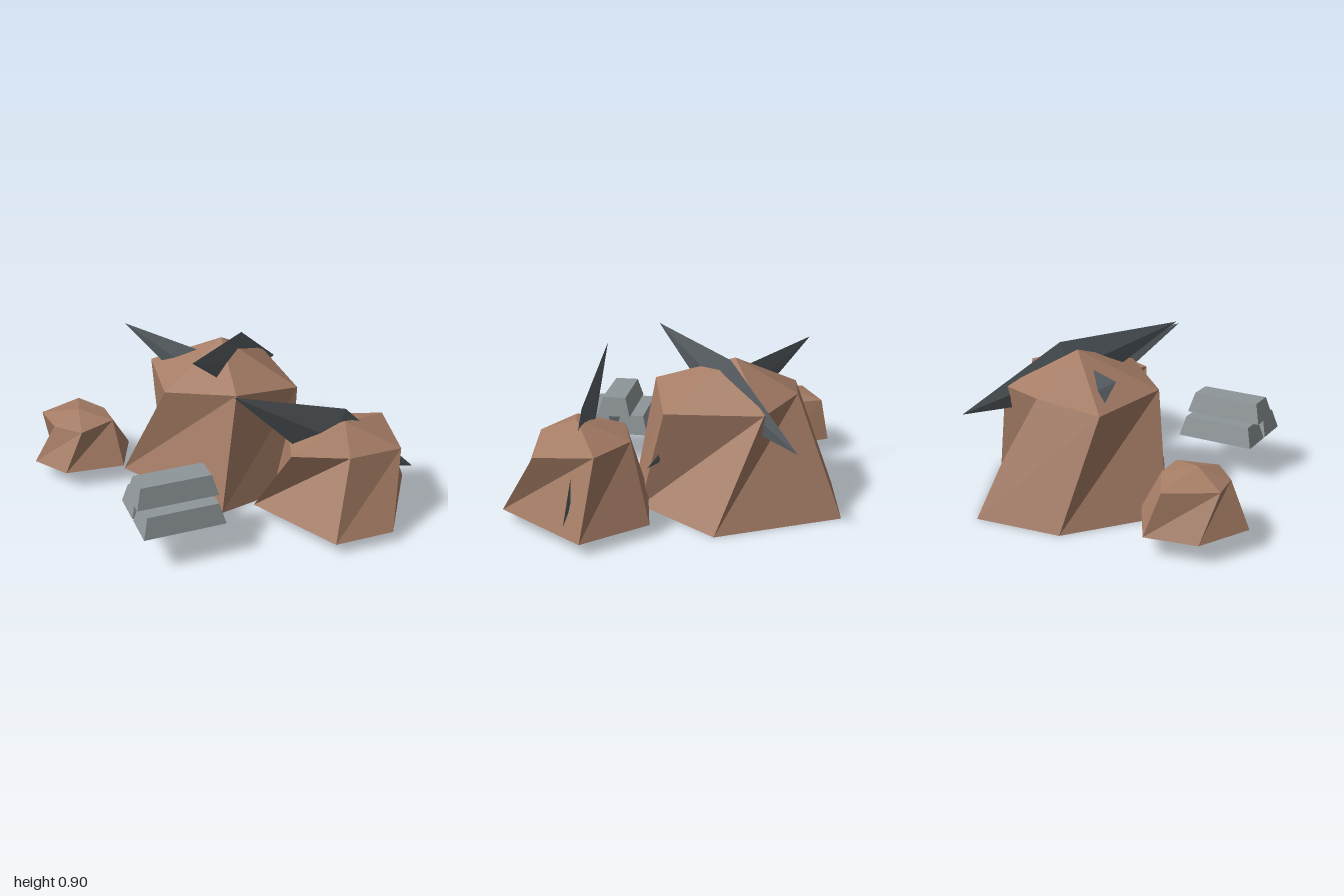
import * as THREE from 'three';

const material = (name, color) => {
  const m = new THREE.MeshStandardMaterial({ color });
  m.name = name;
  return m;
};

// Flat-faced mesh from a list of triangles, each three [x, y, z] corners
function facetMesh(name, triangles, mat) {
  const geo = new THREE.BufferGeometry();
  geo.setAttribute('position', new THREE.Float32BufferAttribute(triangles.flat(2), 3));
  geo.computeVertexNormals();
  const mesh = new THREE.Mesh(geo, mat);
  mesh.name = name;
  return mesh;
}

// Boulder: a flat base outline [x, z], a twisted upper ring [x, y, z] and a peak
function rock(name, floor, base, ring, peak, mat) {
  const low = base.map(([x, z]) => [x, floor, z]);
  const tris = [];
  for (let k = 0; k < low.length; k++) {
    const n = (k + 1) % low.length;
    tris.push([low[k], low[n], ring[n]], [low[k], ring[n], ring[k]], [ring[k], ring[n], peak]);
    if (k > 0 && n > 0) tris.push([low[0], low[n], low[k]]);
  }
  return facetMesh(name, tris, mat);
}

// Thin diamond blade running through a boulder: front tip, top, rear tip, bottom
function shard(name, corners, half, mat) {
  const [f, t, k, l] = corners.map((p) => new THREE.Vector3(...p));
  const side = f.clone().sub(k).cross(t.clone().sub(l)).setLength(half);
  const mid = f.clone().add(k).add(t).add(l).multiplyScalar(0.25);
  const a = mid.clone().add(side).toArray();
  const b = mid.clone().sub(side).toArray();
  const tris = [];
  corners.forEach((p, i) => {
    const q = corners[(i + 1) % 4];
    tris.push([p, q, a], [q, p, b]);
  });
  return facetMesh(name, tris, mat);
}

// Ingot: a box whose upper face is drawn in on all four sides
function ingot(name, x, y, mat) {
  const w = 0.2, h = 0.112, d = 0.45, inset = 0.03;
  const geo = new THREE.BoxGeometry(w, h, d).toNonIndexed();
  const p = geo.attributes.position;
  for (let i = 0; i < p.count; i++) {
    if (p.getY(i) > 0) {
      p.setX(i, p.getX(i) - Math.sign(p.getX(i)) * inset);
      p.setZ(i, p.getZ(i) - Math.sign(p.getZ(i)) * inset);
    }
  }
  geo.computeVertexNormals();
  const mesh = new THREE.Mesh(geo, mat);
  mesh.name = name;
  mesh.position.set(x, y + h / 2, 0);
  return mesh;
}

export function createModel() {
  const model = new THREE.Group();
  model.name = 'oreRocks';
  const stone = material('brown stone', 0xa67d66);
  const ore = material('dark ore', 0x585f64);
  const metal = material('grey metal', 0x8f9699);

  // Boulders
  model.add(
    rock('largeRock', 0,
      [[-0.53, 0.38], [0.23, 0.19], [0.25, -0.29], [-0.1, -0.73], [-0.82, -0.58], [-0.89, -0.1]],
      [[-0.23, 0.6, 0.26], [0.13, 0.65, 0.02], [0.13, 0.58, -0.42],
        [-0.38, 0.6, -0.57], [-0.62, 0.63, -0.3], [-0.69, 0.59, 0.06]],
      [-0.29, 0.81, -0.18], stone),
    rock('mediumRock', 0.06,
      [[0.34, 0.05], [0.91, -0.06], [1, -0.39], [0.6, -0.86], [0.23, -0.67], [0.2, -0.22]],
      [[0.58, 0.46, -0.01], [0.78, 0.46, -0.25], [0.82, 0.43, -0.59],
        [0.51, 0.475, -0.74], [0.31, 0.46, -0.49], [0.32, 0.46, -0.2]],
      [0.59, 0.56, -0.38], stone),
    rock('smallRock', 0.1,
      [[-0.765, 0.85], [-0.53, 0.77], [-0.41, 0.45], [-0.65, 0.27], [-0.98, 0.36], [-1, 0.64]],
      [[-0.7, 0.33, 0.74], [-0.53, 0.33, 0.65], [-0.55, 0.34, 0.43],
        [-0.72, 0.34, 0.39], [-0.95, 0.33, 0.44], [-0.89, 0.34, 0.72]],
      [-0.71, 0.39, 0.57], stone),
  );

  // Ore shards piercing the boulders
  model.add(
    shard('tallShard',
      [[0.085, 0.9, 0.28], [-0.245, 0.83, -0.295], [-0.52, 0.46, -0.77], [-0.2, 0.5, -0.22]], 0.026, ore),
    shard('rightShard',
      [[0.39, 0.805, 0.23], [0.56, 0.62, -0.405], [0.675, 0.16, -0.855], [0.525, 0.29, -0.27]], 0.034, ore),
    shard('leftShard',
      [[-0.79, 0.82, 0.175], [-0.23, 0.7, -0.15], [0.22, 0.27, -0.41], [-0.33, 0.4, -0.08]], 0.026, ore),
  );

  // Stack of three ingots
  const stack = new THREE.Group();
  stack.name = 'ingotStack';
  stack.add(
    ingot('leftIngot', 0.108, 0, metal),
    ingot('rightIngot', -0.108, 0, metal),
    ingot('topIngot', 0, 0.112, metal),
  );
  stack.position.set(0.305, 0.193, 0.567);
  stack.rotation.y = -0.265;
  model.add(stack);

  return model;
}
